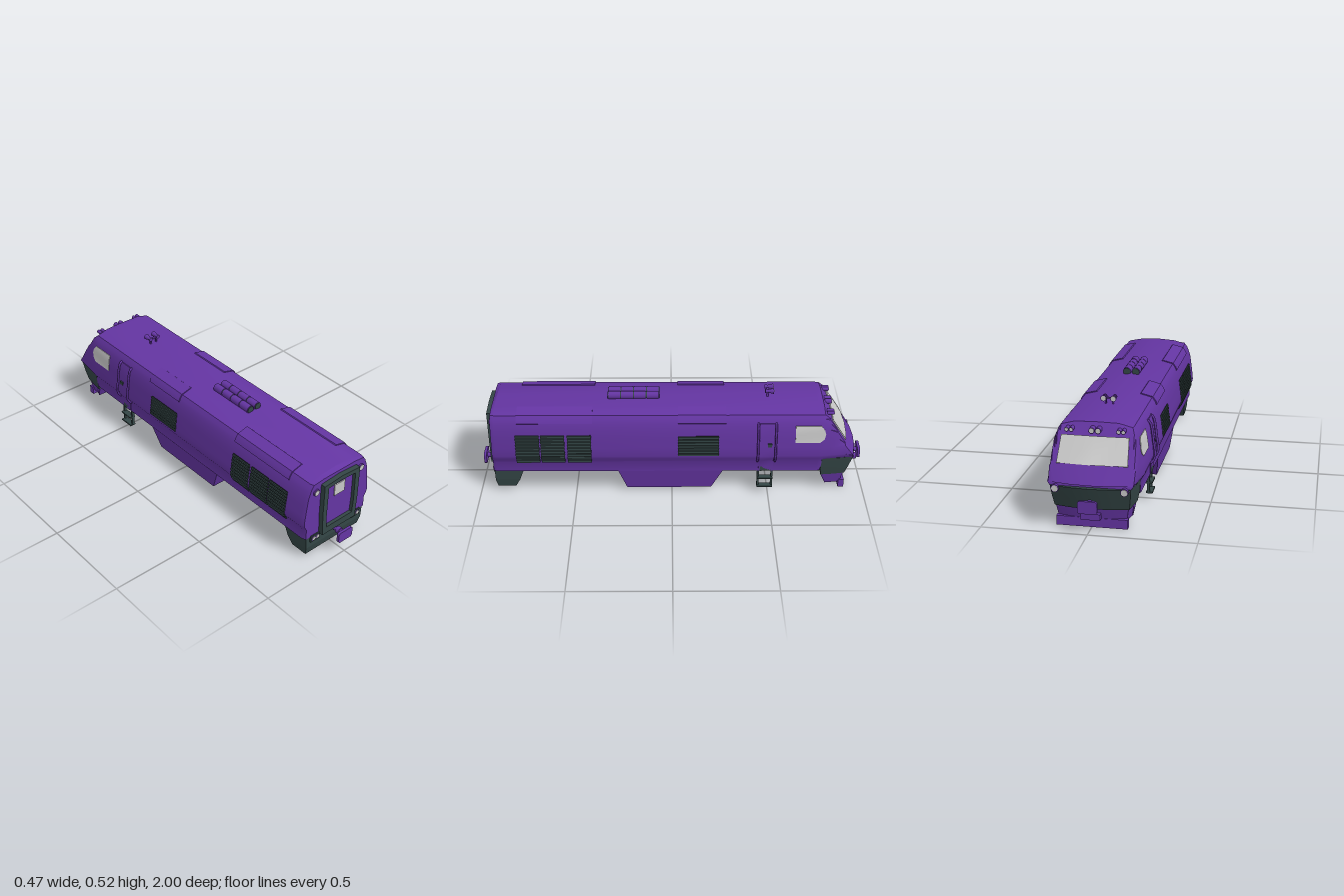
import * as THREE from 'three';
import { toCreasedNormals } from 'three/addons/utils/BufferGeometryUtils.js';

const mat = (name, color) => Object.assign(new THREE.MeshStandardMaterial({ color }), { name });
const purple = mat('purple paint', 0x6435a2);
const slate = mat('dark slate', 0x344646);
const pale = mat('pale glass', 0xc8c8c8);
const shade = mat('underframe dark', 0x1e2828);

// Half cross-section of the body, bottom to roof ridge
const PROFILE = [[.203, .13], [.203, .19], [.218, .216], [.221, .232], [.216, .28], [.21, .325], [.203, .375],
  [.192, .408], [.184, .428], [.17, .447], [.104, .464], [0, .471]];
const lerpTable = (t, v) => {
  for (let i = 1; i < t.length; i++) {
    const [a, b] = [t[i - 1], t[i]];
    if (v <= b[0]) return a[1] + (b[1] - a[1]) * Math.max(0, v - a[0]) / (b[0] - a[0]);
  }
  return t[t.length - 1][1];
};
const widthAt = y => lerpTable(PROFILE.filter((p, i) => i !== 0 || p).map(([x, py]) => [py, x]), y);
const roofAt = d => lerpTable([[.76, .471], [.78, .466], [.81, .423], [.96, .22]], d);
const taper = z => 1 - .1 * Math.max(0, (-z - .75) / .21);
const bow = (x, z) => .7 * x * x * Math.max(0, (-z - .78) / .18);

// Closed skin through rings of points, capped at both ends and turned outwards
function loft(rings, crease = .6) {
  const tris = [], n = rings[0].length;
  const tri = (a, b, c) => tris.push([a, b, c]);
  for (let i = 0; i + 1 < rings.length; i++) for (let j = 0; j < n; j++) {
    const k = (j + 1) % n, A = rings[i], B = rings[i + 1];
    tri(A[j], A[k], B[k]);
    tri(A[j], B[k], B[j]);
  }
  [rings[0], rings[rings.length - 1]].forEach((r, e) => {
    const c = [0, 1, 2].map(a => r.reduce((s, p) => s + p[a], 0) / n);
    r.forEach((p, j) => (e ? tri(p, r[(j + 1) % n], c) : tri(r[(j + 1) % n], p, c)));
  });
  const volume = tris.reduce((s, [a, b, c]) => s + a[0] * (b[1] * c[2] - b[2] * c[1])
    + a[1] * (b[2] * c[0] - b[0] * c[2]) + a[2] * (b[0] * c[1] - b[1] * c[0]), 0);
  const flat = tris.flatMap(t => (volume < 0 ? [t[0], t[2], t[1]] : t)).flat();
  const g = new THREE.BufferGeometry();
  g.setAttribute('position', new THREE.Float32BufferAttribute(flat, 3));
  return toCreasedNormals(g, crease);
}

export function createModel() {
  const root = new THREE.Group();
  root.name = 'locomotive';
  const add = (name, geometry, material, x = 0, y = 0, z = 0) => {
    const m = new THREE.Mesh(geometry, material);
    m.name = name;
    m.position.set(x, y, z);
    root.add(m);
    return m;
  };
  const box = (name, material, w, h, d, x, y, z) => add(name, new THREE.BoxGeometry(w, h, d), material, x, y, z);
  // Cylinder lying along z; r1 is the radius at the +z end
  const rod = (name, material, r1, r0, len, x, y, z) =>
    add(name, new THREE.CylinderGeometry(r1, r0, len, 20).rotateX(Math.PI / 2), material, x, y, z);
  // Plate that follows the body side: levels are [y, rear z, front z]
  const sidePanel = (name, material, side, levels, t) => add(name, loft(levels.map(([y, z0, z1]) => {
    const p = (z, o) => [side * (widthAt(y) * taper(z) + o), y, z];
    return [p(z0, -.008), p(z0, t), p(z1, t), p(z1, -.008)];
  })), material);

  // Body shell with sloping nose
  const bodyRing = (z, sx = 1, drop = 0) => {
    const low = z < -.77 ? .197 : .13, high = roofAt(-z) - drop;
    const half = PROFILE.map(([x, y]) => [x * sx * taper(z), Math.min(high, Math.max(low, y))]);
    const full = [...half, ...half.slice(0, -1).reverse().map(([x, y]) => [-x, y])];
    return full.map(([x, y]) => [x, y, z + bow(x, z)]);
  };
  add('body', loft([bodyRing(.925, .96, .018), bodyRing(.905),
    ...[-.75, -.765, -.78, -.81, -.86, -.91, -.96].map(z => bodyRing(z))]), purple);
  box('underframe', shade, .39, .008, 1.53, 0, .128, 0);

  // Windscreen laid on the nose slope
  const screen = [[.822, .158], [.905, .165]].map(([d, w]) => [-w, -.1, 0, .1, w].map(x =>
    [x, roofAt(d) + .005, -d + bow(x, -d) - .004]));
  add('windscreen', loft(screen.map(r => [...r, ...r.map(([x, y, z]) => [x, y - .006, z + .005]).reverse()])), pale);

  // Nose band and front skirt, as stacked plan outlines
  const plan = (y, sx, back, front) => {
    const half = [[.204, back], [.199, front + .1], [.186, front + .024], [.1, front + .007], [0, front]];
    return [...half, ...half.slice(0, -1).reverse().map(([x, z]) => [-x, z])].map(([x, z]) => [x * sx, y, z]);
  };
  add('noseBand', loft([plan(.205, 1, -.775, -.962), plan(.14, .97, -.77, -.94), plan(.095, .93, -.775, -.925)]), slate);
  add('frontSkirt', loft([plan(.096, .91, -.775, -.92), plan(.03, .85, -.805, -.905)]), purple);
  box('plough', purple, .334, .045, .03, 0, .0225, -.89);
  box('towBlock', purple, .09, .03, .03, 0, .06, -.92);

  // Fuel tank and rear skirt
  const slab = (y, w, z0, z1) => [[-w, y, z0], [w, y, z0], [w, y, z1], [-w, y, z1]];
  add('fuelTank', loft([slab(.131, .2, .28, -.265), slab(.015, .185, .235, -.205)], .1), purple);
  add('rearSkirt', loft([slab(.131, .19, .77, .922), slab(.065, .186, .795, .922), slab(.02, .178, .82, .912)], .1), slate);

  // Gangway frame, door and door window
  const outline = pts => pts.map(([x, y]) => new THREE.Vector2(x, y));
  const frame = new THREE.Shape(outline([[-.11, .128], [.11, .128], [.116, .25], [.116, .428], [0, .437], [-.116, .428], [-.116, .25]]));
  frame.holes.push(new THREE.Path(outline([[-.086, .166], [-.09, .24], [-.088, .407], [0, .412], [.088, .407], [.09, .24], [.086, .166]])));
  add('gangwayFrame', new THREE.ExtrudeGeometry(frame, { depth: .035, bevelEnabled: false }), slate, 0, 0, .915);
  box('endDoor', purple, .182, .25, .015, 0, .288, .925);
  box('endDoorWindow', pale, .068, .065, .006, 0, .355, .934);

  // Couplers at both ends
  const buffer = new THREE.Shape();
  buffer.moveTo(-.03, -.03).lineTo(.03, -.03).quadraticCurveTo(.046, -.03, .046, -.014).lineTo(.046, .014)
    .quadraticCurveTo(.046, .03, .03, .03).lineTo(-.03, .03).quadraticCurveTo(-.046, .03, -.046, .014)
    .lineTo(-.046, -.014).quadraticCurveTo(-.046, -.03, -.03, -.03);
  const plate = new THREE.ExtrudeGeometry(buffer, { depth: .014, bevelEnabled: false });
  for (const [end, y] of [[1, .1], [-1, .13]]) {
    add('couplerPlate', plate, purple, 0, y, end > 0 ? .986 : -1);
    rod('couplerStem', purple, .013, .013, .08, 0, y, end * .95);
    rod('couplerCollar', purple, .018, .018, .02, 0, y, end * .955);
  }

  for (const s of [1, -1]) {
    // Rear end lights
    rod('markerLightRim', purple, .018, .018, .02, s * .148, .398, .922);
    rod('markerLight', pale, .014, .014, .004, s * .148, .398, .932);
    box('tailLightBox', slate, .057, .038, .02, s * .1365, .117, .92);
    for (const x of [.122, .148]) {
      rod('tailLightRim', purple, .0125, .0125, .004, s * x, .118, .931);
      rod('tailLight', pale, .0105, .0105, .004, s * x, .118, .933);
    }
    // Nose headlights
    rod('headlightRim', purple, .018, .018, .03, s * .16, .195, -.938);
    rod('headlight', pale, .015, .015, .004, s * .16, .195, -.953);
    // Lamps above the windscreen
    for (const [x, r] of [[.015, .014], [.11, .01], [.132, .01]]) {
      rod('roofLampCase', purple, r, r, .035, s * x, .437, -.81);
      rod('roofLamp', pale, r * .8, r * .8, .004, s * x, .437, -.828);
    }

    // Louvred grilles
    const grille = (z0, z1, y0, y1, count) => {
      const levels = [y0, .216, .232, .28, .325, y1].filter(y => y >= y0 && y <= y1);
      sidePanel('grilleBack', shade, s, levels.map(y => [y, z0, z1]), .002);
      for (let i = 0; i < count; i++) {
        const y = y0 + (i + .5) * (y1 - y0) / count;
        box('grilleSlat', slate, .014, (y1 - y0) / count * .62, z0 - z1, s * widthAt(y), y, (z0 + z1) / 2);
      }
    };
    for (const z of [.8, .671, .535]) grille(z, z - .122, .185, .352, 10);
    grille(-.03, -.24, .235, .345, 7);

    // Raised roof-edge hatches
    for (const [z0, z1] of [[.79, .405], [-.03, -.275]]) {
      const shoulder = [[.192, .41], [.184, .428], [.17, .447], [.11, .4625]];
      add('roofHatch', loft(shoulder.map(([x, y]) => [[-.004, z0], [.004, z0], [.004, z1], [-.004, z1]]
        .map(([o, z]) => [s * (x + o), y + o, z]))), purple);
    }

    // Cab window, cab door, handrails and step ladder
    sidePanel('cabWindow', pale, s, [[.307, -.63, -.755], [.325, -.63, -.778], [.35, -.63, -.785],
      [.375, -.63, -.778], [.397, -.63, -.76]], .003);
    sidePanel('cabDoor', purple, s, [.135, .19, .216, .232, .28, .325, .375, .41].map(y => [y, -.447, -.522]), .004);
    box('doorHandle', slate, .012, .02, .022, s * (widthAt(.295) + .003), .295, -.5);
    for (const z of [-.44, -.53]) {
      const path = [[-.004, .19], [.007, .2], [.009, .232], [.009, .3], [.009, .375], [.009, .4], [-.004, .41]]
        .map(([o, y]) => new THREE.Vector3(s * (widthAt(y) + o), y, z));
      add('handrail', new THREE.TubeGeometry(new THREE.CatmullRomCurve3(path), 16, .006, 6), purple);
    }
    for (const z of [-.447, -.518]) box('ladderRail', slate, .014, .1, .01, s * .195, .083, z);
    for (const y of [.037, .088]) box('ladderStep', slate, .032, .008, .08, s * .2, y, -.4825);
    box('doorStep', slate, .02, .028, .055, s * .197, .145, -.4825);

    // Roof silencer, made of banded drums
    rod('silencerCore', slate, .018, .018, .266, s * .024, .482, .198);
    for (let i = 0; i < 4; i++) rod('silencerDrum', purple, .021, .021, .06, s * .024, .482, .099 + i * .066);

    // Roof horns
    rod('hornBell', purple, .006, .015, .036, s * .024, .503, -.507);
    rod('hornMouth', pale, .012, .012, .003, s * .024, .503, -.525);
    rod('hornDriver', purple, .011, .011, .012, s * .024, .503, -.487);
    box('hornPost', purple, .007, .035, .01, s * .018, .483, -.495);
  }
  box('hornBracket', purple, .05, .007, .012, 0, .498, -.495);
  return root;
}
